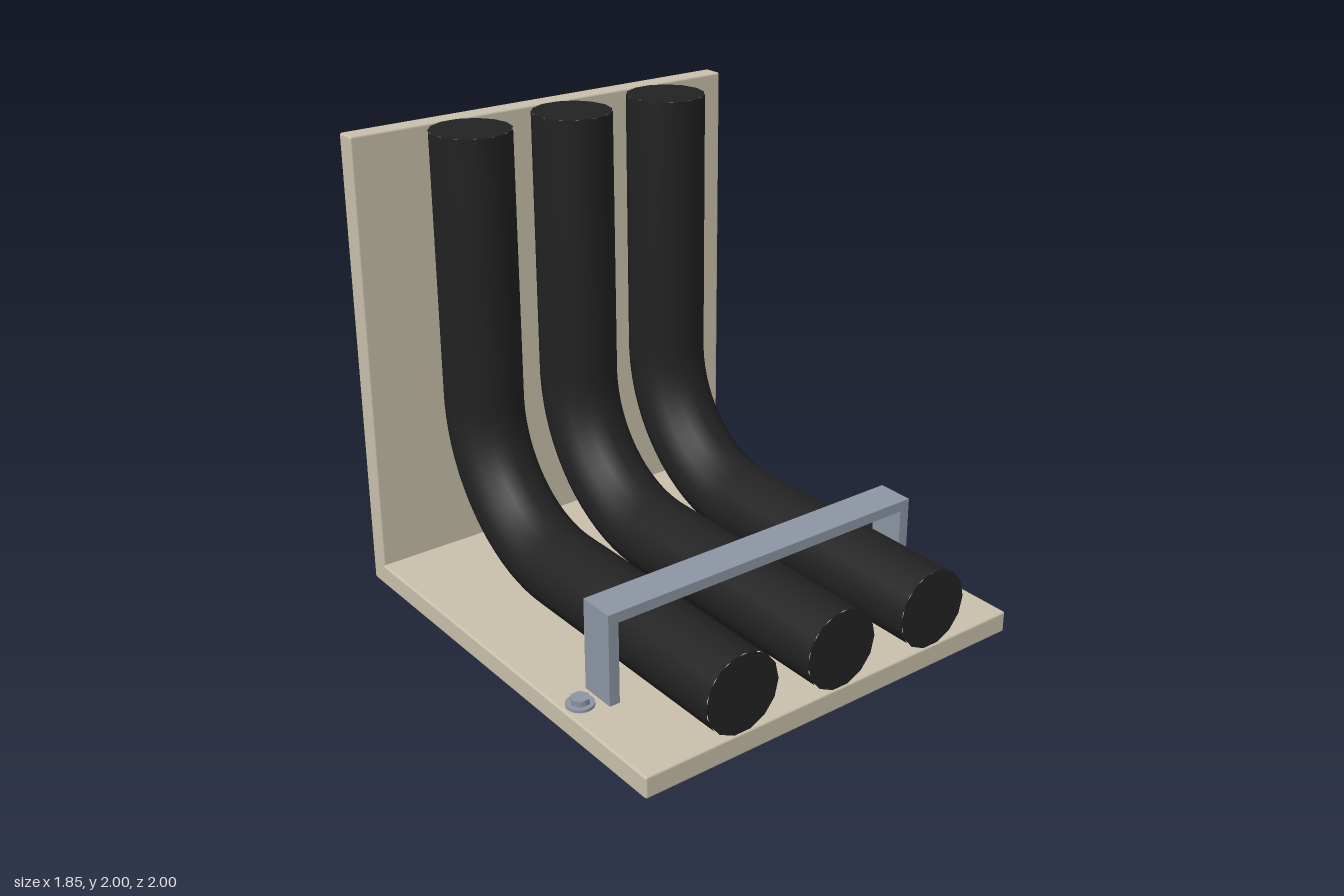
import * as THREE from 'three';
import { RoundedBoxGeometry } from 'three/addons/geometries/RoundedBoxGeometry.js';

const material = (name, color) => {
  const m = new THREE.MeshStandardMaterial({ color });
  m.name = name;
  return m;
};

export function createModel() {
  const model = new THREE.Group();
  const beige = material('beige panel', 0xc9c0ab);
  const black = material('black cable', 0x222222);
  const steel = material('grey steel', 0x8c96a3);

  const add = (parent, name, geometry, mat, x, y, z) => {
    const mesh = new THREE.Mesh(geometry, mat);
    mesh.name = name;
    mesh.position.set(x, y, z);
    parent.add(mesh);
    return mesh;
  };

  // Floor and wall panels
  add(model, 'floorPanel', new RoundedBoxGeometry(1.85, 0.095, 2, 2, 0.01), beige, 0, 0.0475, 0);
  add(model, 'wallPanel', new RoundedBoxGeometry(1.85, 1.99, 0.09, 2, 0.01), beige, 0, 1.005, -0.955);

  // Cables: straight run, quarter bend, straight rise
  const radius = 0.17, sides = 14, low = 0.267, back = -0.735, bend = 0.585;
  const startZ = back + bend, endY = low + bend, handle = bend * 0.5523;
  const v = (y, z) => new THREE.Vector3(0, y, z);
  const path = new THREE.CurvePath();
  path.add(new THREE.LineCurve3(v(low, 1), v(low, startZ)));
  path.add(new THREE.CubicBezierCurve3(
    v(low, startZ), v(low, startZ - handle), v(endY - handle, back), v(endY, back)));
  path.add(new THREE.LineCurve3(v(endY, back), v(2, back)));
  const tube = new THREE.TubeGeometry(path, 60, radius, sides);
  const cap = new THREE.CircleGeometry(radius, sides);

  for (const x of [-0.485, 0, 0.485]) {
    const cable = new THREE.Group();
    cable.name = 'cable';
    cable.position.x = x;
    add(cable, 'cableBody', tube, black, 0, 0, 0);
    add(cable, 'frontCap', cap, black, 0, low, 1);
    add(cable, 'topCap', cap, black, 0, 2, back).rotation.x = -Math.PI / 2;
    model.add(cable);
  }

  // Bracket over the cables
  const bracket = new THREE.Group();
  bracket.name = 'bracket';
  model.add(bracket);
  add(bracket, 'bracketBar', new THREE.BoxGeometry(1.54, 0.045, 0.16), steel, 0, 0.467, 0.485);
  for (const side of [-1, 1]) {
    add(bracket, 'bracketLeg', new THREE.BoxGeometry(0.046, 0.352, 0.16), steel, side * 0.747, 0.27, 0.485);

    // Hex bolt on a round washer
    const bolt = new THREE.Group();
    bolt.name = 'bolt';
    bolt.position.set(side * 0.85, 0, 0.485);
    add(bolt, 'washer', new THREE.CylinderGeometry(0.057, 0.057, 0.014, 20), steel, 0, 0.1, 0);
    add(bolt, 'boltHead', new THREE.CylinderGeometry(0.04, 0.04, 0.03, 6), steel, 0, 0.116, 0)
      .rotation.y = Math.PI / 6;
    model.add(bolt);
  }

  return model;
}
